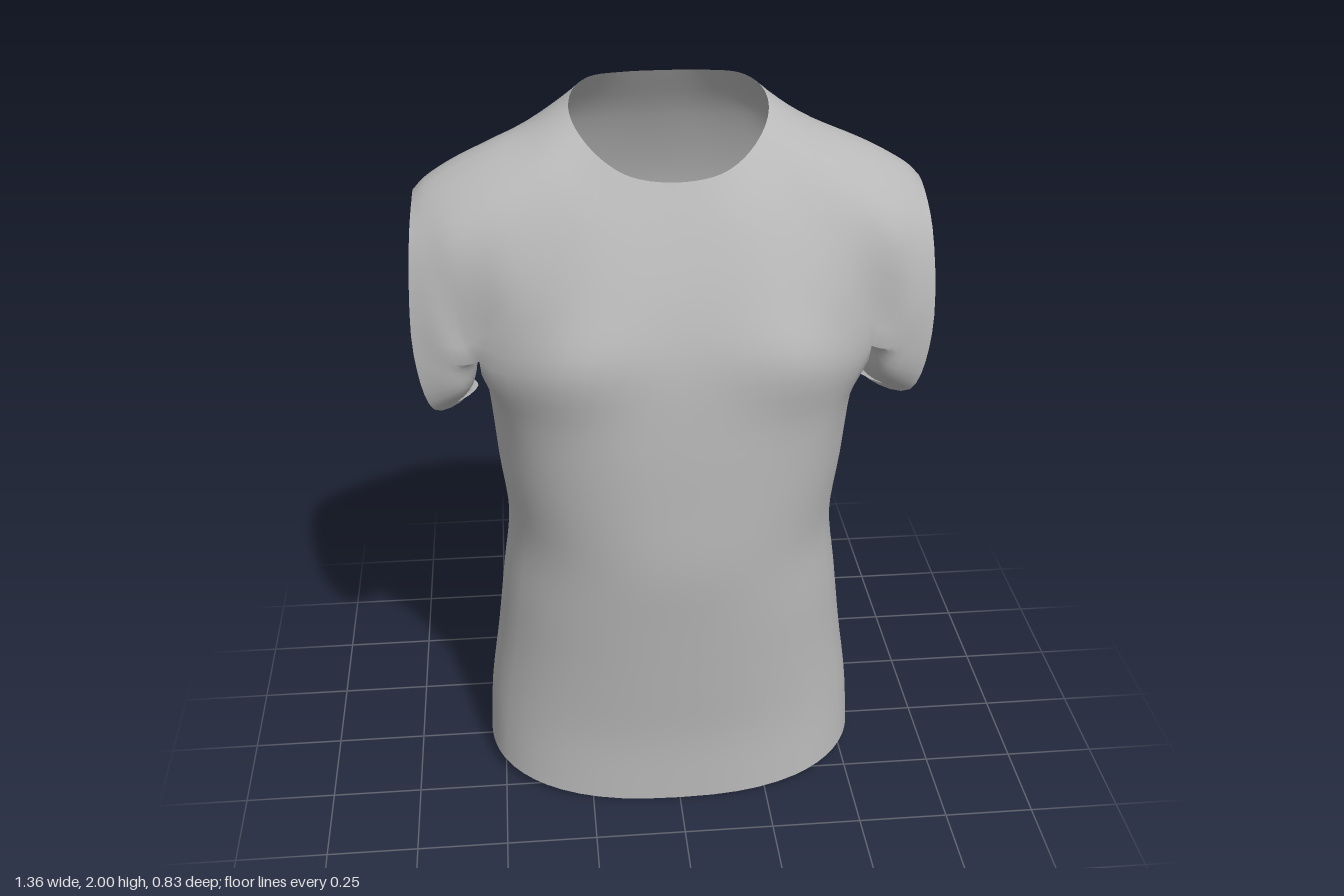
import * as THREE from 'three';
import { mergeVertices } from 'three/addons/utils/BufferGeometryUtils.js';

const K = 5;          // columns between two key points of a ring
const M = 4;          // rows between two rings
const N = 16 * K;     // columns around the whole body
const V = (p) => new THREE.Vector3(...p);
const flip = (p) => new THREE.Vector3(-p.x, p.y, p.z);

// Smooth samples through key points
function spline(points, steps, closed = false) {
  const n = (closed ? points.length : points.length - 1) * steps;
  const curve = new THREE.CatmullRomCurve3(points, closed);
  return Array.from({ length: closed ? n : n + 1 }, (_, i) => curve.getPoint(i / n));
}

// Whole ring from its left half, front centre to back centre
function ring(half) {
  const pts = half.map(V);
  return spline([...pts, ...pts.slice(1, 8).reverse().map(flip)], K, true);
}

// Yoke rings, from the neckline out to the chest and shoulders
const yokeRings = [
  [[0, 1.825, .21], [.11, 1.837, .195], [.18, 1.868, .15], [.235, 1.915, .075], [.255, 1.955, 0],
    [.24, 1.985, -.065], [.195, 2, -.12], [.11, 2, -.153], [0, 2, -.16]],
  [[0, 1.7, .277], [.17, 1.71, .27], [.28, 1.74, .23], [.34, 1.85, .125], [.36, 1.9, -.02],
    [.34, 1.89, -.145], [.29, 1.85, -.23], [.16, 1.85, -.25], [0, 1.85, -.25]],
  [[0, 1.55, .345], [.24, 1.55, .34], [.41, 1.55, .275], [.455, 1.765, .175], [.47, 1.858, -.02],
    [.46, 1.775, -.207], [.42, 1.6, -.293], [.24, 1.6, -.328], [0, 1.6, -.332]],
  [[0, 1.4, .388], [.3, 1.39, .388], [.508, 1.37, .235], [.56, 1.68, .197], [.56, 1.818, -.02],
    [.56, 1.68, -.215], [.508, 1.38, -.235], [.3, 1.4, -.325], [0, 1.4, -.325]],
].map(ring);

// Underarm seam, front to back
const underarm = spline([[.508, 1.37, .235], [.511, 1.35, .12], [.513, 1.343, 0],
  [.511, 1.352, -.12], [.508, 1.38, -.235]].map(V), K);

// Sleeve rings: front, over the shoulder, back, then underneath
const sleeveRings = [
  [[.59, 1.36, .22], [.625, 1.655, .17], [.63, 1.777, -.01], [.625, 1.655, -.178],
    [.59, 1.37, -.21], [.54, 1.26, -.165], [.522, 1.25, 0], [.545, 1.27, .185]],
  [[.675, 1.38, .2], [.67, 1.655, .14], [.66, 1.747, -.003], [.67, 1.655, -.135],
    [.67, 1.37, -.18], [.61, 1.175, -.14], [.545, 1.17, 0], [.635, 1.205, .17]],
].map((r) => spline(r.map(V), K, true));

// Torso rings: height, half width, front depth, back depth, squareness
const torsoRows = [
  [1.2, .492, .407, .3, 2.6], [1, .475, .412, .27, 2.35], [.8, .455, .413, .247, 2.2],
  [.6, .478, .393, .268, 2.25], [.4, .502, .372, .34, 2.25], [.2, .53, .353, .39, 2.3],
  [.045, .54, .352, .415, 2.45],
];
const angles = [0, 35, 65, 77, 90, 103, 115, 145, 180];

function torsoPoint([y, w, front, back, n], c) {
  const h = c <= N / 2 ? c : N - c, k = Math.min(7, Math.floor(h / K));
  const a = THREE.MathUtils.degToRad(THREE.MathUtils.lerp(angles[k], angles[k + 1], h / K - k));
  const s = Math.sin(a), co = Math.cos(a);
  const x = w * Math.pow(Math.abs(s), 2 / n) * (c <= N / 2 ? 1 : -1);
  const z = Math.pow(Math.abs(co), 2 / n) * (co > 0 ? front : -back);
  const dip = y < .1 ? .045 * Math.pow(Math.max(0, co), 1.5) : 0;   // hem hangs lower in front
  return new THREE.Vector3(x, y - dip, z);
}

// Joins neighbouring columns of points, closing the loop
function addGrid(columns, positions, index) {
  const rows = columns[0].length, base = positions.length / 3, count = columns.length;
  columns.forEach((col) => col.forEach((p) => positions.push(p.x, p.y, p.z)));
  for (let c = 0; c < count; c++) {
    for (let r = 0; r < rows - 1; r++) {
      const a = base + c * rows + r, d = base + ((c + 1) % count) * rows + r;
      index.push(a, a + 1, d, d, a + 1, d + 1);
    }
  }
}

function weld(positions, index) {
  const g = new THREE.BufferGeometry();
  g.setAttribute('position', new THREE.Float32BufferAttribute(positions, 3));
  g.setIndex(index);
  const welded = mergeVertices(g, 1e-4);
  welded.computeVertexNormals();
  return welded;
}

export function createModel() {
  const group = new THREE.Group();
  const cloth = new THREE.MeshStandardMaterial({ color: 0xb8b8b8, side: THREE.DoubleSide });
  cloth.name = 'greyCloth';

  const yoke = [], torso = [], sleeve = [];
  const yokeLength = (yokeRings.length - 1) * M;

  // Left sleeve columns: over the shoulder, then back along the underarm
  for (let i = 0; i < 8 * K; i++) {
    const outer = sleeveRings.map((r) => r[i]);
    if (i <= 4 * K) {
      const col = spline([...yokeRings.map((r) => r[2 * K + i]), ...outer], M);
      sleeve.push(col.slice(yokeLength));
      yoke[2 * K + i] = col.slice(0, yokeLength + 1);
      yoke[N - 2 * K - i] = yoke[2 * K + i].map(flip);
    } else {
      sleeve.push(spline([underarm[8 * K - i], ...outer], M));
    }
  }

  // Torso columns: front and back run on from the yoke, sides start at the underarm
  for (let c = 0; c < N; c++) {
    const h = c <= N / 2 ? c : N - c;
    const lower = torsoRows.map((row) => torsoPoint(row, c));
    if (h > 2 * K && h < 6 * K) {
      const top = underarm[h - 2 * K];
      torso.push(spline([c === h ? top : flip(top), ...lower], M));
    } else {
      const col = spline([...yokeRings.map((r) => r[c]), ...lower], M);
      yoke[c] = col.slice(0, yokeLength + 1);
      torso.push(col.slice(yokeLength));
    }
  }

  const mirrored = (columns) => columns.map((col) => col.map(flip)).reverse();

  // Weld everything for seamless shading, then separate the named parts
  const parts = { yoke, torso, leftSleeve: sleeve, rightSleeve: mirrored(sleeve) };
  const positions = [], index = [], ranges = [];
  for (const [name, columns] of Object.entries(parts)) {
    const start = index.length;
    addGrid(columns, positions, index);
    ranges.push([name, start, index.length]);
  }
  const whole = weld(positions, index);
  const wholeIndex = Array.from(whole.index.array);

  const addMesh = (name, geometry) => {
    const mesh = new THREE.Mesh(geometry, cloth);
    mesh.name = name;
    group.add(mesh);
  };
  for (const [name, start, end] of ranges) {
    const g = new THREE.BufferGeometry();
    g.setAttribute('position', whole.attributes.position);
    g.setAttribute('normal', whole.attributes.normal);
    g.setIndex(wholeIndex.slice(start, end));
    addMesh(name, g.toNonIndexed());
  }

  // Folded hem just inside each sleeve opening
  const centre = new THREE.Vector3(.62, 1.45, 0);
  const fold = sleeveRings[1].map((p) => {
    const inner = p.clone().lerp(centre, .06);
    inner.x = p.x - .004;
    const deep = inner.clone();
    deep.x -= .02;
    return [p, inner, deep];
  });
  for (const [name, columns] of [['leftSleeveHem', fold], ['rightSleeveHem', mirrored(fold)]]) {
    const pos = [], idx = [];
    addGrid(columns, pos, idx);
    addMesh(name, weld(pos, idx));
  }
  return group;
}
